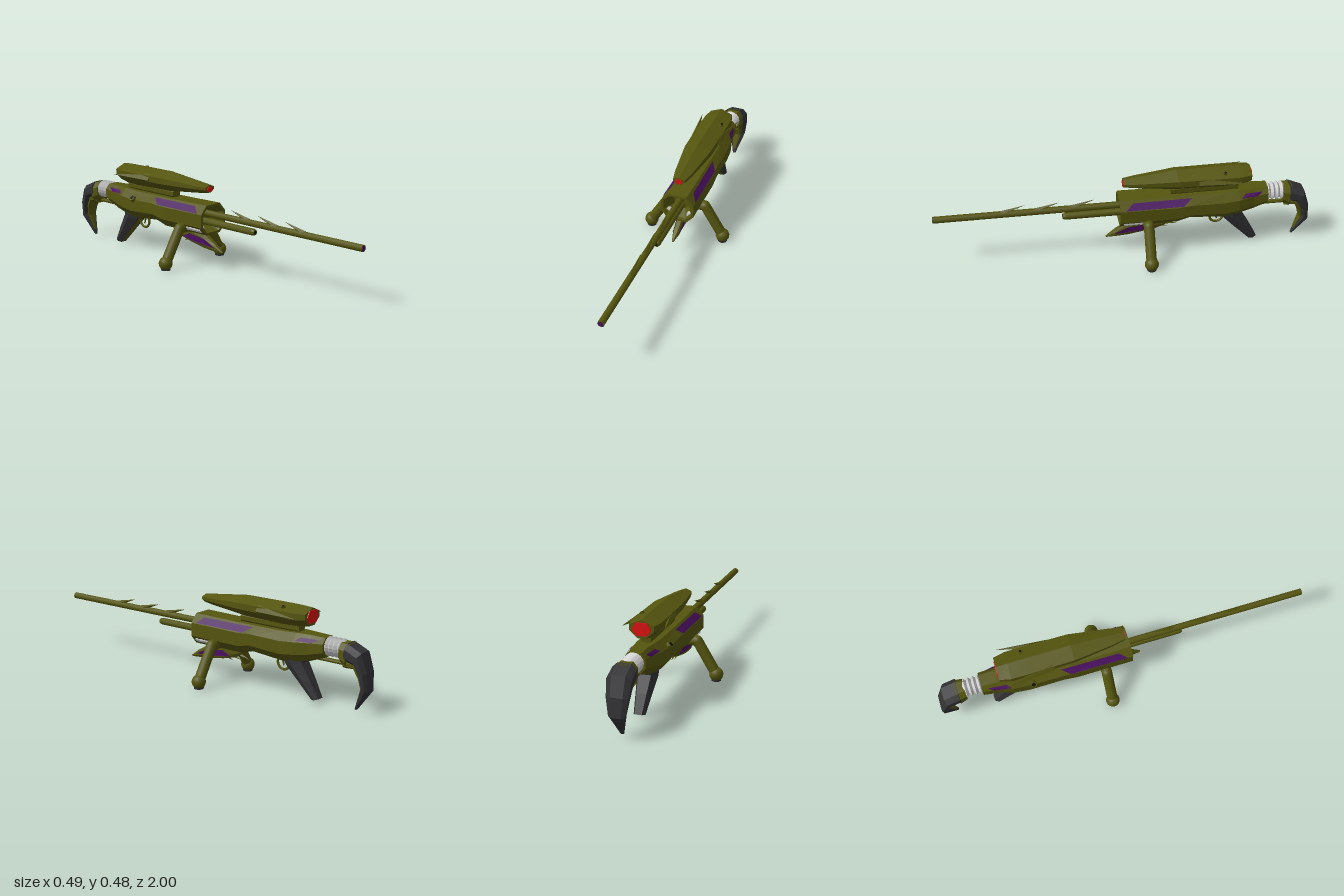
import * as THREE from 'three';

const mat = (color, side = THREE.FrontSide, flatShading = true) =>
  new THREE.MeshStandardMaterial({ color, flatShading, side });
const olive = mat(0x55550f), black = mat(0x333336), red = mat(0xdd1111), grey = mat(0xcccccc, THREE.DoubleSide);
const purple = mat(0x4a1060, THREE.DoubleSide), smoothOlive = mat(0x55550f, THREE.FrontSide, false);
const dark = mat(0x101008);

// Profiles: [x factor, 0 = inner/lower edge .. 1 = outer/upper edge], counter-clockwise from the front
const OCTAGON = [[1, .28], [1, .72], [.56, 1], [-.56, 1], [-1, .72], [-1, .28], [-.56, 0], [.56, 0]];
const HEXAGON = [[1, .5], [.6, 1], [-.6, 1], [-1, .5], [-.6, 0], [.6, 0]];
const SCOPE = [[1, .4], [1, .71], [0, 1], [-1, .71], [-1, .4], [-.33, 0], [.33, 0]];

// Body sections: outer z, outer y, inner z, inner y, half width
const BODY = [
  [.035, .345, .035, .185, .09], [-.27, .341, -.27, .185, .09], [-.34, .341, -.34, .205, .088],
  [-.52, .341, -.52, .19, .085], [-.6, .345, -.6, .2, .08], [-.68, .345, -.68, .215, .06], [-.76, .343, -.76, .245, .055],
];

export function createModel() {
  const model = new THREE.Group();

  function add(name, geometry, material, x = 0, y = 0, z = 0) {
    const mesh = new THREE.Mesh(geometry, material);
    mesh.name = name;
    mesh.position.set(x, y, z);
    model.add(mesh);
    return mesh;
  }

  // Skins a profile over sections running from front to back or downwards, with both ends capped
  function loft(name, sections, profile, material) {
    const rings = sections.map(([oz, oy, iz, iy, w]) =>
      profile.map(([u, v]) => [u * w, iy + (oy - iy) * v, iz + (oz - iz) * v]));
    const n = profile.length, p = [], first = rings[0], last = rings[rings.length - 1];
    const tri = (a, b, c) => p.push(...a, ...b, ...c);
    for (let i = 0; i + 1 < rings.length; i++) {
      for (let j = 0; j < n; j++) {
        const k = (j + 1) % n, r = rings[i], s = rings[i + 1];
        tri(r[j], s[j], s[k]);
        tri(r[j], s[k], r[k]);
      }
    }
    for (let j = 1; j + 1 < n; j++) {
      tri(first[0], first[j], first[j + 1]);
      tri(last[0], last[j + 1], last[j]);
    }
    const g = new THREE.BufferGeometry();
    g.setAttribute('position', new THREE.Float32BufferAttribute(p, 3));
    g.computeVertexNormals();
    return add(name, g, material);
  }

  // Round bar, or spike when r2 = 0, between two points
  function rod(name, a, b, r1, r2, sides, material) {
    const from = new THREE.Vector3(...a), to = new THREE.Vector3(...b), d = to.clone().sub(from);
    const mesh = add(name, new THREE.CylinderGeometry(r2, r1, d.length(), sides), material);
    mesh.position.copy(from).add(to).multiplyScalar(.5);
    mesh.quaternion.setFromUnitVectors(new THREE.Vector3(0, 1, 0), d.normalize());
    return mesh;
  }

  // Half width of the body's upper faces at a given z and y
  function bodyX(z, y) {
    let i = 0;
    while (i < BODY.length - 2 && z < BODY[i + 1][0]) i++;
    const a = BODY[i], b = BODY[i + 1], t = (z - a[0]) / (b[0] - a[0]);
    const [, top, , bottom, w] = a.map((v, k) => v + (b[k] - v) * t);
    const f = Math.max(0, ((y - bottom) / (top - bottom) - .72) / .28);
    return w * (1 - .44 * f);
  }

  // Flat fan through corners given in space
  function patch(name, pts, material) {
    const g = new THREE.BufferGeometry();
    const p = [];
    for (let j = 1; j + 1 < pts.length; j++) p.push(...pts[0], ...pts[j], ...pts[j + 1]);
    g.setAttribute('position', new THREE.Float32BufferAttribute(p, 3));
    g.computeVertexNormals();
    add(name, g, material);
  }

  // Body with a funnel-shaped recess in its front
  loft('body', [[-.03, .30, -.03, .225, .04], [.02, .33, .02, .2, .074], [.035, .333, .035, .197, .078], ...BODY],
    OCTAGON, olive);

  // Barrel with swept-back barbs, and the shorter tube below it
  rod('barrel', [0, .29, -.04], [0, .29, .998], .018, .018, 8, smoothOlive);
  rod('barrelTip', [0, .29, .99], [0, .29, 1], .014, .014, 8, purple);
  for (const z of [.52, .34, .155]) rod('barrelBarb', [0, .298, z + .13], [0, .336, z], .013, 0, 4, olive);
  rod('lowerTube', [0, .245, -.04], [0, .245, .315], .019, .019, 10, smoothOlive);
  rod('lowerTubeEnd', [0, .245, .315], [0, .245, .33], .019, .014, 10, olive);
  rod('lowerTubeBore', [0, .245, .32], [0, .245, .331], .009, .009, 8, dark);

  // Sight with lenses, mount and knob
  loft('scope', [
    [.01, .445, .01, .403, .032], [-.05, .452, -.05, .395, .045], [-.27, .478, -.27, .374, .073],
    [-.5, .478, -.5, .37, .076], [-.6, .477, -.6, .372, .075], [-.66, .473, -.66, .382, .062],
  ], SCOPE, olive);
  loft('frontLens', [[.014, .434, .014, .408, .02], [0, .434, 0, .408, .02]], HEXAGON, red);
  loft('rearLens', [[-.65, .461, -.65, .393, .05], [-.664, .459, -.664, .395, .048]], HEXAGON, red);
  loft('scopeMount', [[-.24, .385, -.24, .335, .025], [-.6, .385, -.6, .335, .025]], OCTAGON, olive);
  rod('scopeKnob', [.042, .45, -.52], [.049, .467, -.52], .011, .011, 8, olive);
  rod('scopeKnobCap', [.049, .467, -.52], [.0495, .4685, -.52], .007, .007, 8, dark);
  rod('bodyKnob', [-.068, .292, -.5], [-.091, .312, -.5], .02, .018, 8, olive);
  rod('bodyKnobCap', [-.091, .312, -.5], [-.0925, .3135, -.5], .011, .011, 8, dark);

  for (const s of [1, -1]) {
    rod('scopeFin', [s * .06, .428, -.38], [s * .107, .427, -.64], .026, 0, 4, olive);

    // Coloured slots on the upper slopes of the body
    const slot = (name, corners) =>
      patch(name, corners.map(([z, y]) => [s * (bodyX(z, y) + .003), y + .002, z]), purple);
    slot('frontSlot', [[.005, .302], [-.035, .332], [-.345, .332], [-.3, .302]]);
    slot('rearSlot', [[-.61, .31], [-.635, .328], [-.73, .328], [-.7, .31]]);

    // Ribbed side tube
    rod('sideTube', [s * .062, .217, .015], [s * .062, .217, -.09], .019, .019, 10, grey);
    for (let i = 0; i < 4; i++) {
      const z = .005 - i * .025;
      rod('sideTubeRib', [s * .062, .217, z], [s * .062, .217, z - .01], .021, .021, 10, grey);
    }

    // Support leg
    const Z = -.113;
    rod('legAxle', [s * .04, .207, Z], [s * .103, .207, Z], .028, .028, 16, smoothOlive);
    add('legElbow', new THREE.SphereGeometry(.028, 16, 12), smoothOlive, s * .103, .207, Z);
    rod('leg', [s * .103, .207, Z], [s * .2, .045, Z], .028, .028, 16, smoothOlive);
    add('footBall', new THREE.SphereGeometry(.037, 16, 12), smoothOlive, s * .206, .036, Z);
    add('footPad', new THREE.CylinderGeometry(.027, .025, .012, 12), black, s * .206, .006, Z);

    // Slot on the lower blade
    patch('bladeSlot', [[s * .0185, .113, .06], [s * .0215, .15, -.01], [s * .0225, .165, -.12], [s * .0225, .14, -.17],
      [s * .0215, .122, -.06]], purple);
  }

  // Pointed blade under the body, with barbs at the back
  loft('lowerBlade', [
    [.105, .094, .1, .088, .004], [.05, .135, .05, .094, .017], [-.02, .175, -.02, .1, .02],
    [-.12, .2, -.12, .118, .021], [-.2, .2, -.2, .138, .021], [-.26, .2, -.26, .175, .012],
  ], OCTAGON, olive);
  for (const z of [-.1, -.15, -.2]) {
    rod('bladeBarb', [0, .135 - z * .12, z + .01], [0, .09 - z * .24, z - .08], .016, 0, 4, olive);
  }

  // Grip, trigger and guard
  loft('grip', [[-.63, .235, -.5, .215, .056], [-.625, .19, -.535, .165, .054], [-.672, .11, -.605, .09, .042],
    [-.72, .022, -.68, .01, .03]], HEXAGON, black);
  loft('gripFront', [[-.54, .215, -.495, .215, .02], [-.56, .165, -.527, .165, .02], [-.625, .09, -.598, .088, .018],
    [-.69, .014, -.676, .011, .014]], OCTAGON, olive);
  add('triggerGuard', new THREE.TorusGeometry(.036, .007, 6, 16), olive, 0, .165, -.495).rotation.y = Math.PI / 2;
  rod('trigger', [0, .2, -.485], [0, .15, -.497], .007, .004, 6, olive);

  // Bellows joining body and butt
  const ridges = [];
  for (let i = 0; i <= 8; i++) ridges.push(new THREE.Vector2(i % 2 ? .05 : .037, -.05 + i * .0125));
  add('bellows', new THREE.LatheGeometry(ridges, 16), grey, 0, .299, -.803).rotation.x = Math.PI / 2;
  rod('stockRod', [0, .228, -.6], [0, .228, -.875], .011, .011, 8, olive);

  // Butt collar and downward hook
  loft('buttCollar', [[-.845, .336, -.845, .24, .05], [-.895, .334, -.88, .215, .058]], OCTAGON, olive);
  loft('buttHook', [[-.882, .338, -.875, .25, .06], [-.962, .303, -.925, .235, .061], [-.993, .21, -.952, .185, .054],
    [-1, .115, -.962, .135, .042], [-.93, .012, -.918, .012, .008]], OCTAGON, black);
  loft('hookLining', [[-.87, .26, -.86, .214, .04], [-.935, .25, -.917, .215, .04], [-.965, .185, -.942, .17, .034],
    [-.97, .125, -.953, .125, .025], [-.935, .04, -.925, .04, .008]], OCTAGON, olive);

  return model;
}
